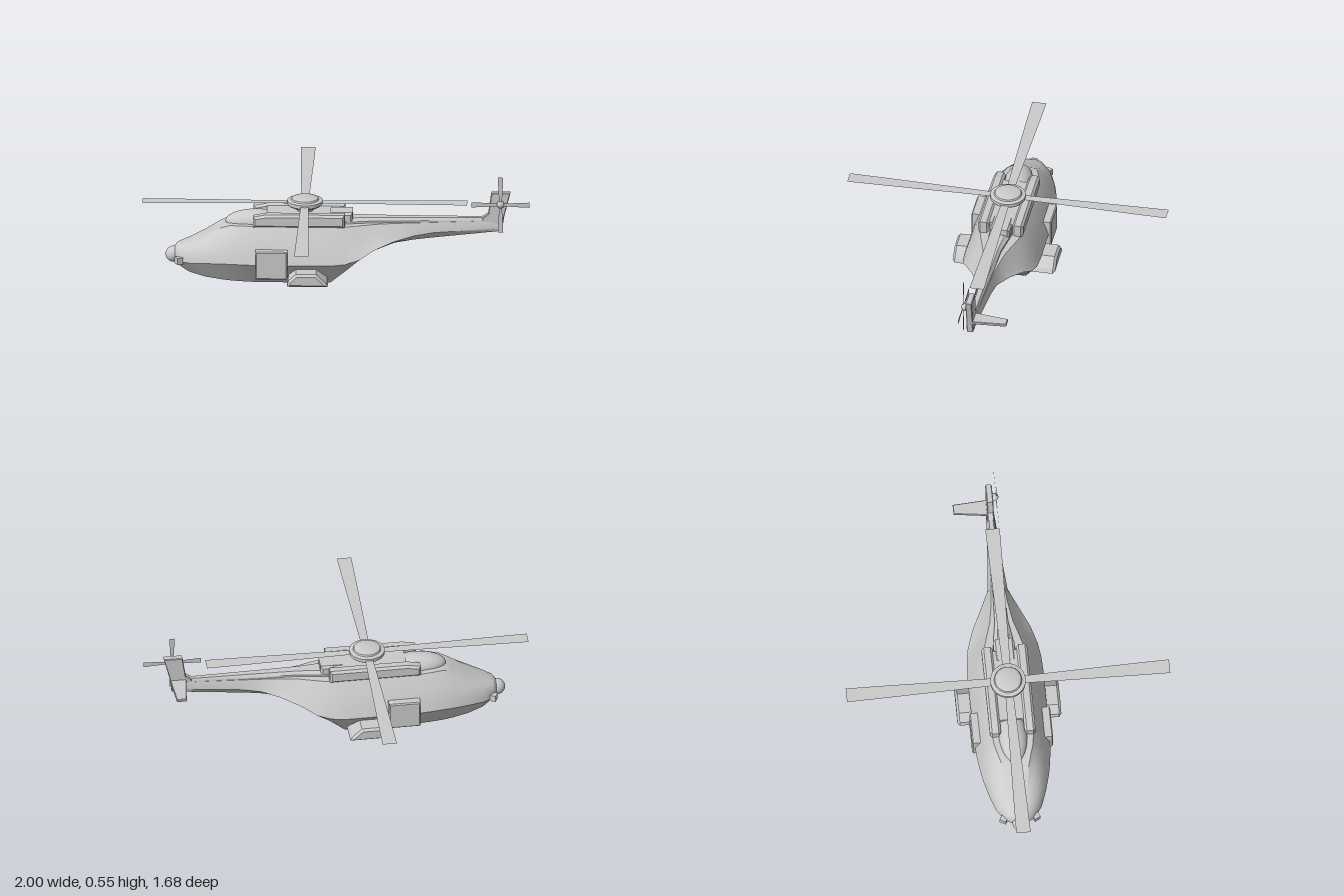
import * as THREE from 'three';
import { toCreasedNormals } from 'three/addons/utils/BufferGeometryUtils.js';

const grey = new THREE.MeshStandardMaterial({ color: 0xcccccc });
const thin = new THREE.MeshStandardMaterial({ color: 0xcccccc, side: THREE.DoubleSide });

function add(parent, name, geo, x = 0, y = 0, z = 0, mat = grey) {
  const mesh = new THREE.Mesh(geo, mat);
  mesh.name = name;
  mesh.position.set(x, y, z);
  parent.add(mesh);
  return mesh;
}

const outline = (pts) => new THREE.Shape(pts.map(([x, y]) => new THREE.Vector2(x, y)));

// Flat outline extruded along z, centred, with an optional chamfer
function slab(pts, depth, bevel = 0) {
  const geo = new THREE.ExtrudeGeometry(outline(pts), {
    depth: depth - 2 * bevel, bevelEnabled: bevel > 0, bevelThickness: bevel,
    bevelSize: bevel, bevelOffset: -bevel, bevelSegments: 1,
  });
  return geo.translate(0, 0, bevel - depth / 2);
}

const rect = (x0, x1, y0, y1) => [[x0, y0], [x1, y0], [x1, y1], [x0, y1]];

// Skin over closed rings of [x, y, z], ordered from nose to tail
function loft(rings, crease) {
  const n = rings[0].length, pos = rings.flat(2), idx = [];
  for (let i = 0; i < rings.length - 1; i++) {
    for (let j = 0; j < n; j++) {
      const a = i * n + j, b = i * n + (j + 1) % n;
      idx.push(a, a + n, b, b, a + n, b + n);
    }
  }
  const last = (rings.length - 1) * n;
  for (let j = 1; j < n - 1; j++) {
    idx.push(0, j, j + 1, last, last + j + 1, last + j);
  }
  const geo = new THREE.BufferGeometry();
  geo.setAttribute('position', new THREE.Float32BufferAttribute(pos, 3));
  geo.setIndex(idx);
  return toCreasedNormals(geo, crease);
}

// Hull ring: flat belly, sloping lower side to the chine, curved side up to a flat roof
function hullRing([x, yb, wb, yc, wc, yt, wt, bulge]) {
  const side = new THREE.QuadraticBezierCurve(
    new THREE.Vector2(wc, yc),
    new THREE.Vector2((wc + wt) / 2 + bulge, (yc + yt) / 2 + bulge),
    new THREE.Vector2(wt, yt)).getPoints(5).map((p) => [x, p.y, p.x]);
  const half = [[x, yb, wb], ...side];
  return [...half, ...half.map(([a, b, c]) => [a, b, -c]).reverse()];
}

// Tapered blade along +x, lying in the xy plane
const blade = (start, end, root, tip) => new THREE.ShapeGeometry(outline(
  [[start, -root], [end * 0.8, -tip * 0.92], [end, -tip], [end, tip], [end * 0.8, tip * 0.92], [start, root]]));

export function createModel() {
  const model = new THREE.Group();
  model.name = 'helicopter';

  // Hull and boom: x, belly y/half width, chine y/half width, roof y/half width, bulge
  const stations = [
    [-0.835, 0.085, 0.02, 0.1, 0.045, 0.153, 0.02, 0.01],
    [-0.82, 0.065, 0.035, 0.095, 0.075, 0.168, 0.03, 0.02],
    [-0.76, 0.035, 0.065, 0.1, 0.118, 0.19, 0.045, 0.03],
    [-0.68, 0.018, 0.088, 0.11, 0.148, 0.228, 0.055, 0.035],
    [-0.6, 0.01, 0.105, 0.115, 0.17, 0.275, 0.065, 0.03],
    [-0.55, 0.006, 0.112, 0.118, 0.18, 0.295, 0.08, 0.025],
    [-0.48, 0.003, 0.118, 0.118, 0.19, 0.3, 0.1, 0.015],
    [-0.4, 0, 0.12, 0.118, 0.196, 0.3, 0.11, 0.01],
    [-0.03, 0, 0.12, 0.118, 0.198, 0.3, 0.112, 0.01],
    [0.05, 0.064, 0.12, 0.125, 0.194, 0.3, 0.105, 0.005],
    [0.12, 0.12, 0.11, 0.145, 0.182, 0.3, 0.085, 0],
    [0.2, 0.183, 0.09, 0.19, 0.152, 0.3, 0.06, -0.005],
    [0.3, 0.195, 0.045, 0.22, 0.1, 0.3, 0.043, -0.005],
    [0.4, 0.205, 0.022, 0.235, 0.052, 0.3, 0.033, 0],
    [0.5, 0.216, 0.018, 0.25, 0.042, 0.302, 0.028, 0.002],
    [0.855, 0.252, 0.01, 0.27, 0.018, 0.31, 0.013, 0.001],
  ];
  add(model, 'fuselage', loft(stations.map(hullRing), 0.5));

  // Raised spine along the boom
  const spine = [[0.04, 0.06], [0.2, 0.035], [0.45, 0.026], [0.79, 0.016]].map(([x, w]) =>
    [[x, 0.28, w], [x, 0.31, w], [x, 0.325, w * 0.6], [x, 0.325, -w * 0.6], [x, 0.31, -w], [x, 0.28, -w]]);
  add(model, 'boomSpine', loft(spine, 0.5));

  // Roof fairing behind the cockpit, engine deck and exhaust
  const fairing = new THREE.SphereGeometry(1, 32, 12, 0, Math.PI * 2, 0, Math.PI / 2);
  add(model, 'cockpitFairing', fairing.scale(0.16, 0.063, 0.075), -0.415, 0.293, 0);
  add(model, 'engineDeck', slab(rect(-0.36, 0.02, 0.28, 0.355), 0.15, 0.008));
  add(model, 'exhaust', slab(rect(-0.03, 0.085, 0.28, 0.358), 0.11, 0.012));

  for (const s of [1, -1]) {
    const sideName = s > 0 ? 'front' : 'rear';
    add(model, sideName + 'EnginePod',
      slab([[-0.43, 0.295], [0.045, 0.295], [0.045, 0.365], [-0.36, 0.365], [-0.43, 0.352]], 0.058, 0.012),
      0, 0, s * 0.09);
    add(model, sideName + 'Door', slab(rect(-0.415, -0.25, 0.045, 0.195), 0.07, 0.006), 0, 0, s * 0.175);

    // Sponson, narrowing upwards
    add(model, sideName + 'Sponson',
      slab([[-0.25, 0.025], [-0.04, 0.025], [-0.05, 0.045], [-0.1, 0.093], [-0.205, 0.093], [-0.245, 0.055]], 0.17, 0.012),
      0, 0, s * 0.185);

    const sensor = add(model, sideName + 'NoseSensor',
      new THREE.BoxGeometry(0.04, 0.035, 0.035), -0.81, 0.103, s * 0.082);
    sensor.rotation.y = s * 0.5;
  }
  add(model, 'noseBall', new THREE.SphereGeometry(0.042, 20, 14), -0.843, 0.11, 0);

  // Main rotor
  const rotor = new THREE.Group();
  rotor.name = 'mainRotor';
  rotor.position.set(-0.163, 0.4, 0);
  model.add(rotor);
  const hubProfile = [[0, -0.06], [0.04, -0.06], [0.04, -0.03], [0.058, -0.03], [0.058, -0.015], [0.085, -0.015],
    [0.092, -0.008], [0.092, 0.01], [0.072, 0.014], [0.068, 0.022], [0.055, 0.027], [0, 0.027]];
  add(rotor, 'rotorHub', toCreasedNormals(
    new THREE.LatheGeometry(hubProfile.map(([r, y]) => new THREE.Vector2(r, y)), 32), 0.5));
  for (let i = 0; i < 4; i++) {
    const geo = blade(0.05, 0.84, 0.02, 0.0375).rotateX(-Math.PI / 2).rotateY(i * Math.PI / 2);
    add(rotor, 'rotorBlade' + (i + 1), geo, 0, 0, 0, thin);
  }

  // Tail fin and single stabilizer
  add(model, 'tailFin',
    slab([[0.75, 0.243], [0.858, 0.253], [0.867, 0.325], [0.9, 0.46], [0.802, 0.46], [0.785, 0.345], [0.755, 0.325]], 0.034, 0.004));
  const stabilizer = slab([[0.78, 0], [0.867, 0], [0.856, 0.19], [0.805, 0.19]], 0.016, 0.003).rotateX(-Math.PI / 2);
  add(model, 'stabilizer', stabilizer, 0, 0.317, 0);

  // Tail rotor
  const tailRotor = new THREE.Group();
  tailRotor.name = 'tailRotor';
  tailRotor.position.set(0.85, 0.403, 0.036);
  model.add(tailRotor);
  add(tailRotor, 'tailRotorHub', new THREE.SphereGeometry(0.02, 16, 10), 0, 0, -0.008);
  for (let i = 0; i < 4; i++) {
    const geo = blade(0.01, 0.15, 0.007, 0.014).rotateZ(i * Math.PI / 2);
    add(tailRotor, 'tailRotorBlade' + (i + 1), geo, 0, 0, 0, thin);
  }
  return model;
}
